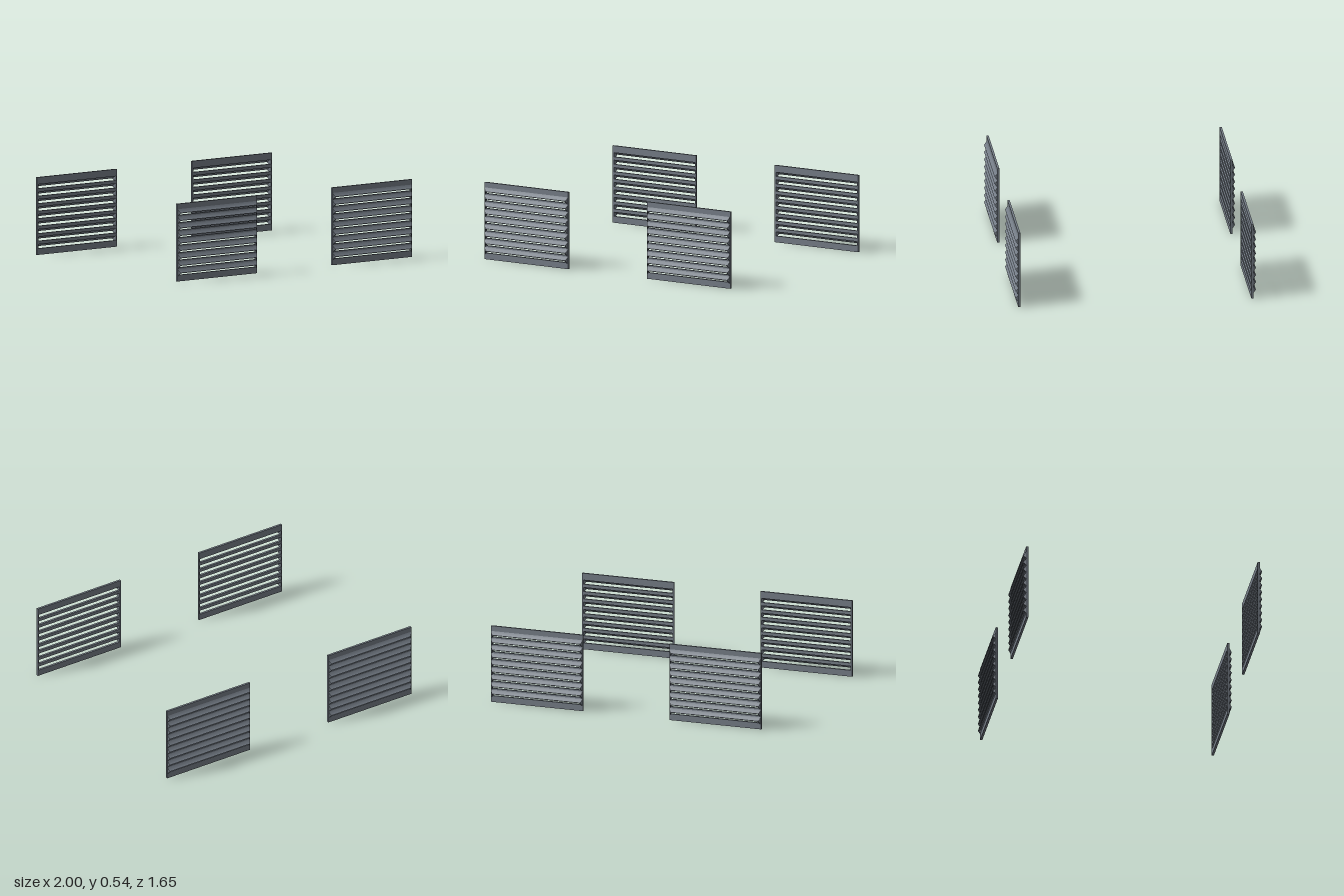
import * as THREE from 'three';
import { toCreasedNormals } from 'three/addons/utils/BufferGeometryUtils.js';

const WIDTH = 0.68, HEIGHT = 0.535, THICK = 0.015;
const SLOTS = 9, PITCH = 0.0517, FIRST = 0.06;
const material = new THREE.MeshStandardMaterial({ color: 0x757d87, side: THREE.DoubleSide });

// Flat sheet with a row of long slots, front face at z = THICK
function panelGeometry() {
  const rect = (P, x, y0, y1) => {
    const p = new P();
    p.moveTo(-x, y0).lineTo(x, y0).lineTo(x, y1).lineTo(-x, y1).closePath();
    return p;
  };
  const shape = rect(THREE.Shape, WIDTH / 2, 0, HEIGHT);
  for (let i = 0; i < SLOTS; i++) {
    const y = FIRST + i * PITCH;
    shape.holes.push(rect(THREE.Path, 0.33, y - 0.016, y + 0.013));
  }
  return new THREE.ExtrudeGeometry(shape, { depth: THICK, bevelEnabled: false });
}

// Pressed hood: sloping top, tapered ends, open underneath
function hoodGeometry() {
  // Rows of the slope from the sheet down to the lip: half width, y, z
  const outer = [[0.336, 0.025, 0], [0.334, 0.015, 0.005], [0.331, 0.007, 0.011], [0.325, 0, 0.018]];
  const inner = outer.map(([w, y, z]) => [w - 0.006, y - 0.004, z - 0.005]);
  const pos = [];
  const tri = (a, b, c) => pos.push(...a, ...b, ...c);
  const quad = (a, b, c, d) => { tri(a, b, c); tri(a, c, d); };
  const mirror = ([x, y, z]) => [-x, y, z];

  // One skin with both ends closed; returns the outline of its opening
  const skin = (rows, inside) => {
    const foot = [rows[0][0], -0.022, 0];
    const face = (a, b, c) => (inside ? tri(a, c, b) : tri(a, b, c));
    for (let i = 0; i < rows.length - 1; i++) {
      const a = rows[i], b = rows[i + 1];
      face(mirror(b), b, a);
      face(mirror(b), a, mirror(a));
      face(foot, a, b);
      face(mirror(foot), mirror(b), mirror(a));
    }
    const lip = rows[rows.length - 1];
    return [mirror(foot), mirror(lip), lip, foot];
  };
  const o = skin(outer, false), n = skin(inner, true);

  // Rim joining both skins along the opening
  for (let i = 0; i < 3; i++) quad(n[i], n[i + 1], o[i + 1], o[i]);

  const geometry = new THREE.BufferGeometry();
  geometry.setAttribute('position', new THREE.Float32BufferAttribute(pos, 3));
  return toCreasedNormals(geometry, 0.6);
}

export function createModel() {
  const model = new THREE.Group();
  model.name = 'louverPanels';
  const sheet = panelGeometry(), hood = hoodGeometry();

  // Two panels at the front and two at the back, hoods facing outwards
  for (const [end, sz] of [['front', 1], ['back', -1]]) {
    for (const [side, sx] of [['Left', 1], ['Right', -1]]) {
      const panel = new THREE.Group();
      panel.name = `${end}${side}Panel`;
      const plate = new THREE.Mesh(sheet, material);
      plate.name = 'slottedSheet';
      panel.add(plate);
      for (let i = 0; i < SLOTS; i++) {
        const louver = new THREE.Mesh(hood, material);
        louver.name = 'louverHood';
        louver.position.set(0, FIRST + i * PITCH, THICK);
        panel.add(louver);
      }
      panel.position.set(sx * (1 - WIDTH / 2), 0, sz * 0.793);
      if (sz < 0) panel.rotation.y = Math.PI;
      model.add(panel);
    }
  }
  return model;
}
